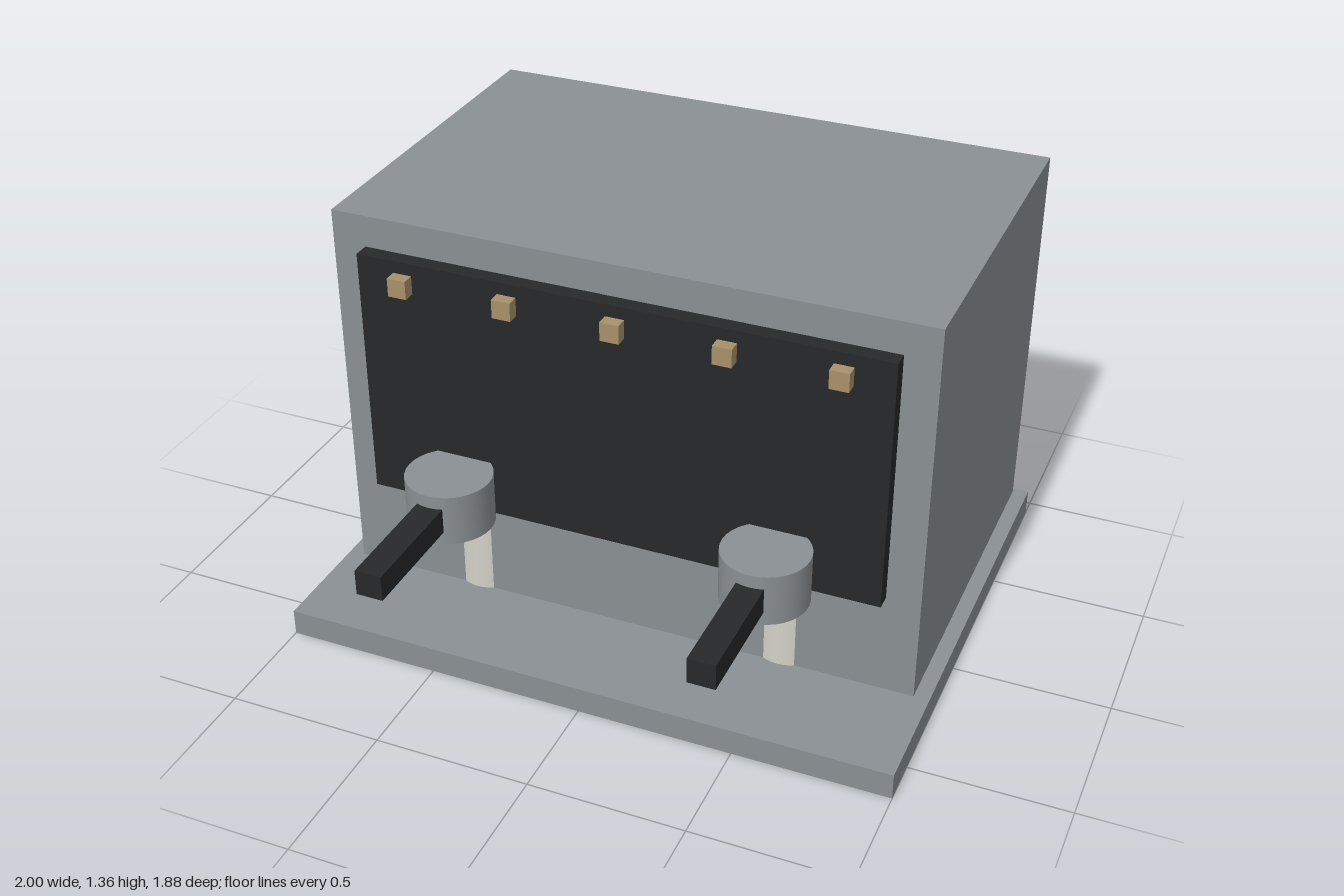
import * as THREE from 'three';

export function createModel() {
  const model = new THREE.Group();
  model.name = 'tapCabinet';

  const paint = (color) => new THREE.MeshStandardMaterial({ color });
  const steel = paint(0x8a9093);
  const black = paint(0x26282a);
  const brass = paint(0xa8916a);
  const ivory = paint(0xd2d2c8);

  function add(name, geometry, material, x, y, z) {
    const mesh = new THREE.Mesh(geometry, material);
    mesh.name = name;
    mesh.position.set(x, y, z);
    model.add(mesh);
    return mesh;
  }

  // Box given by its extents on each axis
  function block(name, material, [x0, x1], [y0, y1], [z0, z1]) {
    const geometry = new THREE.BoxGeometry(x1 - x0, y1 - y0, z1 - z0);
    return add(name, geometry, material, (x0 + x1) / 2, (y0 + y1) / 2, (z0 + z1) / 2);
  }

  // Cabinet
  block('basePlate', steel, [-1, 1], [0, 0.087], [-0.94, 0.645]);
  block('body', steel, [-0.95, 0.95], [0.087, 1.355], [-0.922, 0.283]);
  block('frontPanel', black, [-0.842, 0.842], [0.427, 1.252], [0.283, 0.335]);

  // Row of buttons along the top of the panel
  for (const x of [-0.69, -0.345, 0, 0.345, 0.69]) {
    block('button', brass, [x - 0.03, x + 0.03], [1.153, 1.213], [0.33, 0.375]);
  }

  // Two round heads with handles, each above a shallow rounded column
  for (const x of [-0.517, 0.517]) {
    add('roundHead', new THREE.CylinderGeometry(0.137, 0.137, 0.168, 32), steel, x, 0.528, 0.437);
    block('handle', black, [x - 0.043, x + 0.043], [0.487, 0.57], [0.5, 0.94]);
    add('column', new THREE.CylinderGeometry(0.11, 0.11, 0.243, 32), ivory, x, 0.2085, 0.186);
  }

  return model;
}
